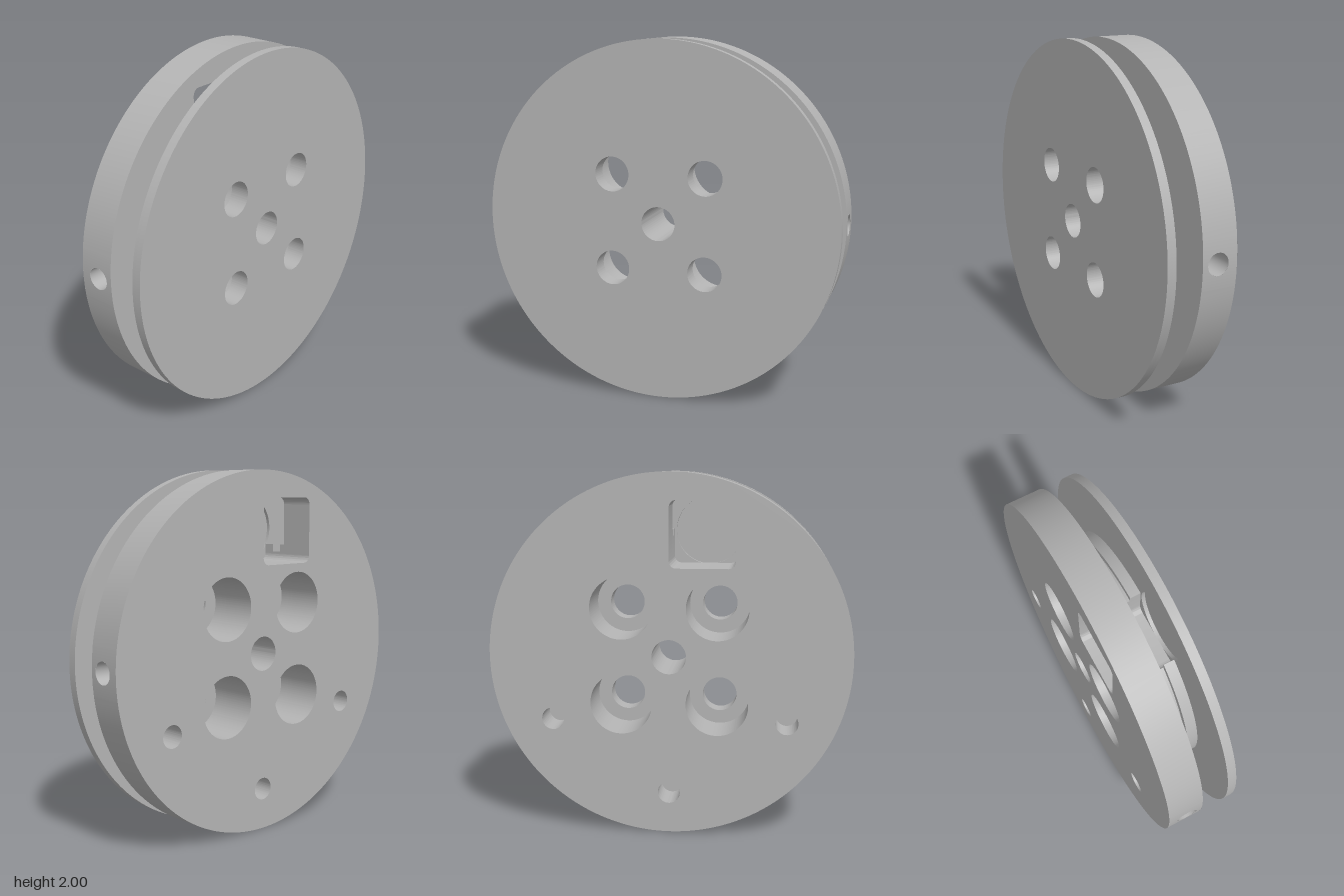
import * as THREE from 'three';
import { toCreasedNormals } from 'three/addons/utils/BufferGeometryUtils.js';

const SEG = 96;
const STEP = (2 * Math.PI) / SEG;
const BOLT = 0.265, BORE_R = 0.172, BOLT_R = 0.097, AXLE_R = 0.095;
const POCKET = { x0: -0.36, x1: 0, y0: 0.485, y1: 0.85, r: 0.04 };
const SIDE_Z = -0.09, SIDE_R = 0.06;

const grey = new THREE.MeshStandardMaterial({ color: 0xb4b4b4, side: THREE.DoubleSide });
grey.name = 'grey metal';

function mesh(name, geometry) {
  const m = new THREE.Mesh(geometry, grey);
  m.name = name;
  return m;
}

function circle(x, y, r, Type = THREE.Path) {
  return new Type().absarc(x, y, r, 0, 2 * Math.PI, false);
}

// Axle hole plus the four bolt holes
function boltHoles(r) {
  const holes = [circle(0, 0, AXLE_R)];
  for (const sx of [-1, 1]) for (const sy of [-1, 1]) holes.push(circle(sx * BOLT, sy * BOLT, r));
  return holes;
}

function slab(shape, holes, z0, z1) {
  shape.holes.push(...holes);
  const g = new THREE.ExtrudeGeometry(shape, { depth: z1 - z0, bevelEnabled: false, curveSegments: SEG });
  g.translate(0, 0, z0);
  return g;
}

function pocketPath() {
  const { x0, x1, y0, y1, r } = POCKET, q = Math.PI / 2;
  const p = new THREE.Path();
  p.absarc(x1 - r, y1 - r, r, 0, q, false);
  p.absarc(x0 + r, y1 - r, r, q, 2 * q, false);
  p.absarc(x0 + r, y0 + r, r, 2 * q, 3 * q, false);
  p.absarc(x1 - r, y0 + r, r, 3 * q, 4 * q, false);
  p.closePath();
  return p;
}

// Drum outline: a circle notched by the pocket
function drumShape(radius) {
  const { x0, x1, y0, r } = POCKET, q = Math.PI / 2;
  const s = new THREE.Shape();
  s.absarc(0, 0, radius, Math.acos(x0 / radius), 2.5 * Math.PI, false);
  s.lineTo(x1, y0 + r);
  s.absarc(x1 - r, y0 + r, r, 0, -q, true);
  s.absarc(x0 + r, y0 + r, r, -q, -2 * q, true);
  s.closePath();
  return s;
}

// Remove the rim facets where the side holes enter
function openRim(geometry) {
  const g = geometry.index ? geometry.toNonIndexed() : geometry;
  const p = g.attributes.position, kept = [];
  for (let i = 0; i < p.count; i += 3) {
    const ids = [i, i + 1, i + 2];
    const zs = ids.map(k => p.getZ(k));
    const onRim = ids.every(k => Math.hypot(p.getX(k), p.getY(k)) > 0.99);
    const y = ids.reduce((t, k) => t + p.getY(k) / 3, 0);
    const isWall = Math.max(...zs) - Math.min(...zs) > 0.01;
    if (onRim && isWall && Math.abs(y) < Math.sin(2 * STEP)) continue;
    for (const k of ids) kept.push(p.getX(k), p.getY(k), p.getZ(k));
  }
  const out = new THREE.BufferGeometry();
  out.setAttribute('position', new THREE.Float32BufferAttribute(kept, 3));
  return out;
}

// Piece of rim with a round hole, bent onto the unit cylinder
function rimPatch(angle) {
  const w = 2 * STEP, n = 4, s = new THREE.Shape();
  s.moveTo(-w, -0.2);
  for (let i = 1; i <= n; i++) s.lineTo(-w + (2 * w * i) / n, -0.2);
  for (let i = n; i >= 0; i--) s.lineTo(-w + (2 * w * i) / n, 0);
  s.closePath();
  s.holes.push(circle(0, SIDE_Z, SIDE_R));
  const g = new THREE.ShapeGeometry(s, 24);
  const p = g.attributes.position, nrm = g.attributes.normal;
  for (let i = 0; i < p.count; i++) {
    const a = angle + p.getX(i), c = Math.cos(a), d = Math.sin(a);
    p.setXYZ(i, c, d, p.getY(i));
    nrm.setXYZ(i, c, d, 0);
  }
  return g;
}

// Blind stepped hole running inward from the rim
function sideHole(side) {
  const profile = [[0, 0.6], [0.045, 0.6], [0.045, 0.8], [SIDE_R, 0.8], [SIDE_R, 0.9985]]
    .map(([r, h]) => new THREE.Vector2(r, h));
  const g = new THREE.LatheGeometry(profile, 32);
  g.rotateZ(-side * Math.PI / 2);
  g.translate(0, 0, SIDE_Z);
  return toCreasedNormals(g, 0.5);
}

export function createModel() {
  const model = new THREE.Group();
  model.name = 'grooved wheel';
  const body = new THREE.Group();
  body.name = 'wheel body';
  body.position.y = 1;
  model.add(body);

  // Thick rear disc with counterbores, pocket and three small holes
  const rearHoles = [...boltHoles(BORE_R), pocketPath(),
    circle(0.65, -0.36, 0.062), circle(-0.65, -0.36, 0.062), circle(0, -0.77, 0.062)];
  const rear = openRim(slab(circle(0, 0, 1, THREE.Shape), rearHoles, -0.2, 0));
  body.add(mesh('rearDisc', toCreasedNormals(rear, 0.5)));

  for (const [side, angle, label] of [[1, 0, 'left'], [-1, Math.PI, 'right']]) {
    body.add(mesh(label + 'RimPatch', rimPatch(angle)));
    body.add(mesh(label + 'SideHole', sideHole(side)));
  }

  // Drum in three layers, the middle one forming the groove
  for (const [name, r, hole, z0, z1] of [
    ['drumRearFlange', 0.68, BORE_R, 0, 0.03],
    ['drumGroove', 0.645, BORE_R, 0.03, 0.09],
    ['drumFrontFlange', 0.68, BOLT_R, 0.09, 0.15],
  ]) body.add(mesh(name, toCreasedNormals(slab(drumShape(r), boltHoles(hole), z0, z1), 0.5)));

  // Thin front plate, with a shallow round recess on its inner face
  const recess = circle(-0.2, 0.67, 0.19);
  for (const [name, extra, z0, z1] of [
    ['frontPlateInner', [recess], 0.15, 0.17],
    ['frontPlateOuter', [], 0.17, 0.2],
  ]) {
    const g = slab(circle(0, 0, 1, THREE.Shape), [...boltHoles(BOLT_R), ...extra], z0, z1);
    body.add(mesh(name, toCreasedNormals(g, 0.5)));
  }
  return model;
}
